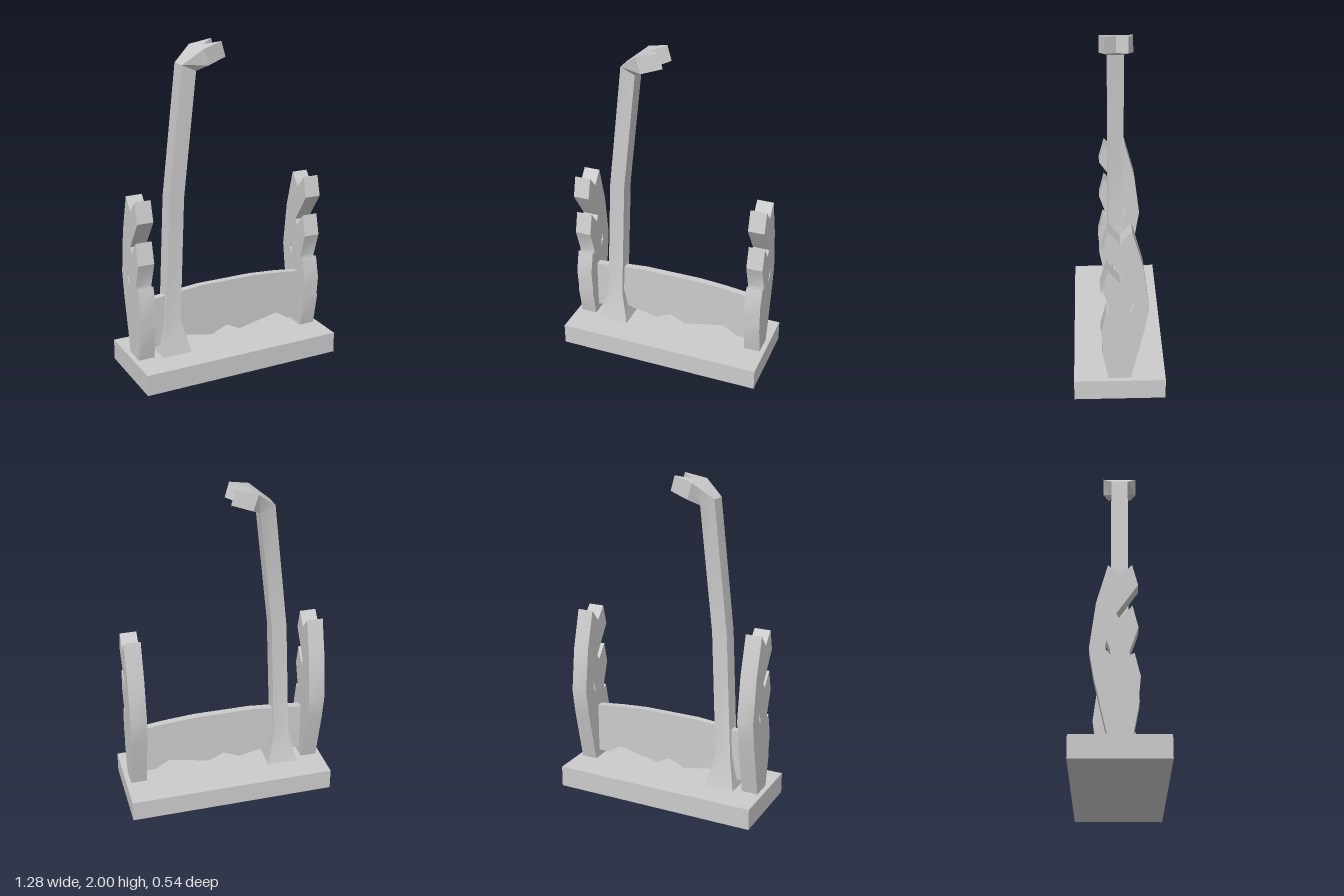
import * as THREE from 'three';
import { toCreasedNormals } from 'three/addons/utils/BufferGeometryUtils.js';

const material = new THREE.MeshStandardMaterial({ color: 0xcccccc });

function addMesh(group, name, geometry) {
  const mesh = new THREE.Mesh(geometry, material);
  mesh.name = name;
  group.add(mesh);
  return mesh;
}

const points = (list) => list.map(([x, y]) => new THREE.Vector2(x, y));

function plate(outline, depth, hole) {
  const shape = new THREE.Shape(points(outline));
  if (hole) shape.holes.push(new THREE.Path(points(hole)));
  return new THREE.ExtrudeGeometry(shape, { depth, bevelEnabled: false }).translate(0, 0, -depth / 2);
}

// Each section: outer edge [x, y], inner edge [x, y], half width,
// and optionally the middle points of both edges (for the forked tip).
function postGeometry() {
  const sections = [
    [[-0.465, 0.13], [-0.278, 0.13], 0.103],
    [[-0.422, 0.33], [-0.325, 0.33], 0.05],
    [[-0.385, 1.1], [-0.292, 1.1], 0.05],
    [[-0.295, 1.88], [-0.207, 1.84], 0.05],
    [[-0.18, 1.97], [-0.15, 1.875], 0.1],
    [[-0.055, 2.0], [-0.03, 1.91], 0.067, [-0.135, 1.98], [-0.108, 1.887]],
  ];
  const positions = [];
  const index = [];
  for (const [outer, inner, w, outerMid = outer, innerMid = inner] of sections) {
    positions.push(...outer, -w, ...outerMid, 0, ...outer, w);
    positions.push(...inner, w, ...innerMid, 0, ...inner, -w);
  }
  const quad = (a, b, c, d) => index.push(a, b, c, a, c, d);
  for (let i = 0; i < sections.length - 1; i++) {
    for (let j = 0; j < 6; j++) {
      const k = (j + 1) % 6;
      quad(i * 6 + j, i * 6 + k, i * 6 + 6 + k, i * 6 + 6 + j);
    }
  }
  // End caps
  const e = (sections.length - 1) * 6;
  quad(5, 4, 1, 0);
  quad(4, 3, 2, 1);
  quad(e, e + 1, e + 4, e + 5);
  quad(e + 1, e + 2, e + 3, e + 4);
  const geometry = new THREE.BufferGeometry();
  geometry.setAttribute('position', new THREE.Float32BufferAttribute(positions, 3));
  geometry.setIndex(index);
  return toCreasedNormals(geometry, 0.5);
}

export function createModel() {
  const group = new THREE.Group();
  group.name = 'stand';

  // Base slab
  addMesh(group, 'base', new THREE.BoxGeometry(1.28, 0.13, 0.54).translate(0, 0.065, 0));

  // Carved side uprights, drawn in z and y, notched on the front edge
  const profile = [
    [-0.065, 0.13], [-0.14, 0.465], [-0.165, 0.62], [-0.13, 0.89], [-0.065, 1.125],
    [0, 1.05], [0.067, 1.125], [0.1, 1.0], [-0.02, 0.825], [0, 0.79],
    [0.068, 0.875], [0.1, 0.745], [0.05, 0.6], [0.053, 0.58], [0.078, 0.595],
    [0.11, 0.46], [0.1, 0.36], [0.103, 0.32], [0.067, 0.13],
  ];
  const eye = [[-0.073, 0.668], [-0.08, 0.62], [-0.05, 0.58], [-0.053, 0.615]];
  const upright = toCreasedNormals(plate(profile, 0.1, eye).rotateY(-Math.PI / 2), 0.5);
  for (const [name, x] of [['rightUpright', -0.56], ['leftUpright', 0.56]]) {
    addMesh(group, name, upright).position.x = x;
  }

  // Thin cross panel with a bowed top and ragged lower edge
  const panel = [
    [-0.51, 0.175], [-0.45, 0.175], [-0.355, 0.225], [-0.1, 0.175], [0, 0.22], [0.095, 0.175],
    [0.355, 0.23], [0.44, 0.175], [0.51, 0.175], [0.51, 0.487], [0.35, 0.505],
    [0.18, 0.517], [-0.18, 0.517], [-0.35, 0.502], [-0.51, 0.487],
  ];
  addMesh(group, 'crossPanel', plate(panel, 0.044));

  // Tall leaning post with a flared foot and forked hook
  addMesh(group, 'hookPost', postGeometry());

  return group;
}
